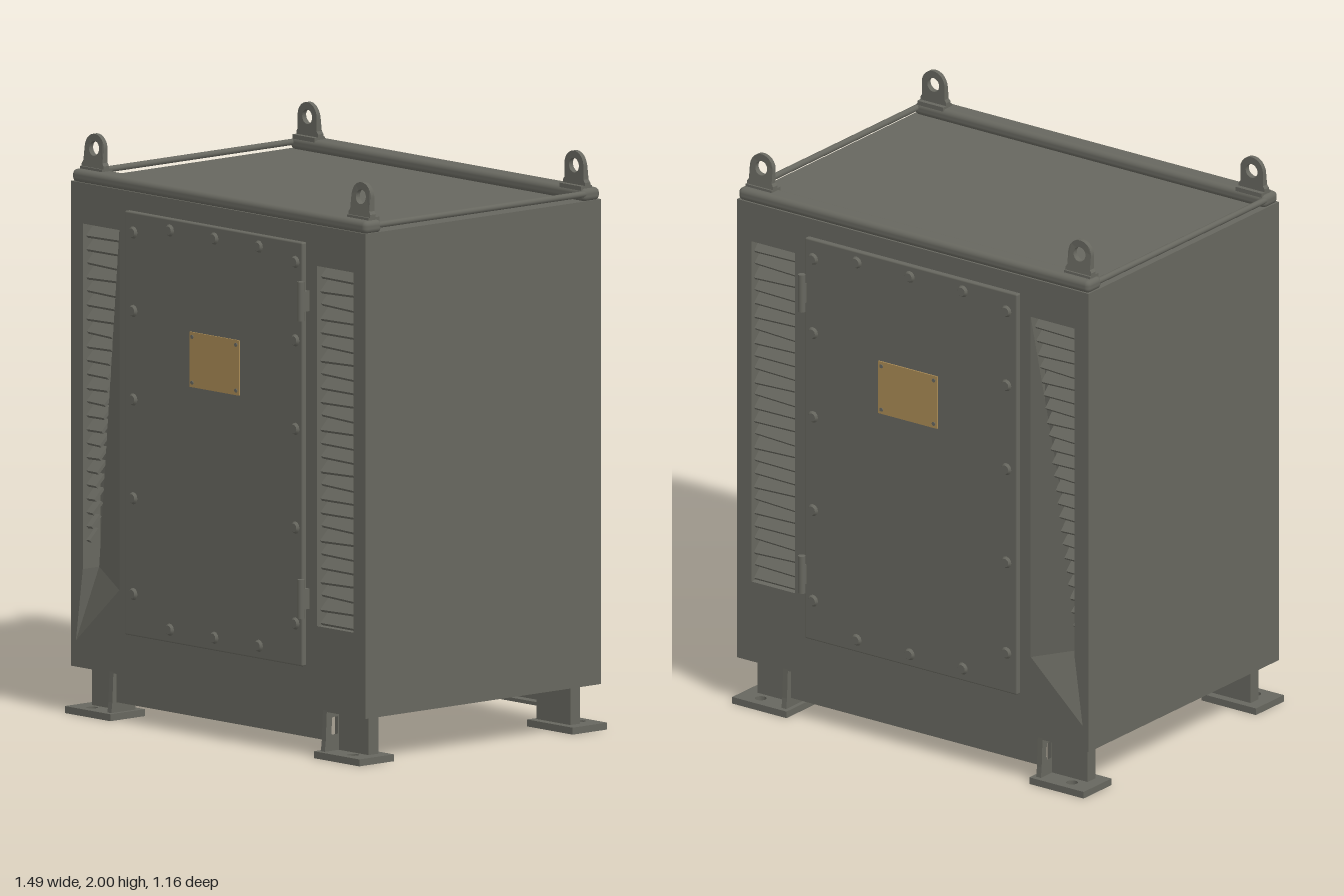
import * as THREE from 'three';
import { RoundedBoxGeometry } from 'three/addons/geometries/RoundedBoxGeometry.js';

const steel = new THREE.MeshStandardMaterial({ color: 0x67675f });
steel.name = 'grey steel';
const sheet = new THREE.MeshStandardMaterial({ color: 0x67675f, side: THREE.DoubleSide });
sheet.name = 'grey sheet';
const brass = new THREE.MeshStandardMaterial({ color: 0xaa8b55 });
brass.name = 'brass';

function add(parent, name, geometry, material = steel, x = 0, y = 0, z = 0) {
  const mesh = new THREE.Mesh(geometry, material);
  mesh.name = name;
  mesh.position.set(x, y, z);
  parent.add(mesh);
  return mesh;
}

// Box given by its low and high corners
function block(parent, name, [x0, x1], [y0, y1], [z0, z1], material = steel) {
  return add(parent, name, new THREE.BoxGeometry(x1 - x0, y1 - y0, z1 - z0), material,
    (x0 + x1) / 2, (y0 + y1) / 2, (z0 + z1) / 2);
}

const polygon = (pts, Type = THREE.Shape) => new Type(pts.map(p => new THREE.Vector2(...p)));
const extrude = (shape, depth) =>
  new THREE.ExtrudeGeometry(shape, { depth, bevelEnabled: false, curveSegments: 16 });

// Row of sloping slats from x0 to rightEnd(y); every slat is slightly askew
function louvres(parent, x0, y0, y1, rightEnd) {
  const step = 0.0477, count = Math.round((y1 - y0) / step);
  for (let i = 0; i < count; i++) {
    const y = y0 + (i + 0.5) * step, x1 = rightEnd(y);
    const slat = add(parent, 'louvre', new THREE.BoxGeometry(x1 - x0, 0.055, 0.012), steel, (x0 + x1) / 2, y, 0.5);
    slat.rotation.set(-0.8, 0, 0.04 * Math.sin(i * 2.4));
  }
}

// Creased sheet pushed in at its lower outer corner, with the ledge below it
function dentGeometry() {
  const top = [-0.5, 1.69, 0.54], hinge = [-0.5, 0.45, 0.54];
  const inner = [-0.685, 0.5, 0.465], tip = [-0.72, 0.25, 0.54];
  const g = new THREE.BufferGeometry();
  g.setAttribute('position', new THREE.Float32BufferAttribute(
    [...top, ...inner, ...hinge, ...inner, ...tip, ...hinge], 3));
  g.computeVertexNormals();
  return g;
}

// Eye plate that thickens towards its base
function lugGeometry() {
  const s = new THREE.Shape();
  s.moveTo(-0.055, 0);
  s.lineTo(0.055, 0);
  s.lineTo(0.055, 0.025);
  s.lineTo(0.048, 0.035);
  s.lineTo(0.048, 0.082);
  s.absarc(0, 0.082, 0.048, 0, Math.PI, false);
  s.lineTo(-0.048, 0.035);
  s.lineTo(-0.055, 0.025);
  s.closePath();
  s.holes.push(new THREE.Path().absarc(0, 0.08, 0.025, 0, Math.PI * 2, true));
  const g = extrude(s, 0.016);
  const p = g.attributes.position;
  for (let i = 0; i < p.count; i++) {
    if (p.getZ(i) > 0.01) p.setZ(i, 0.016 + 0.012 * Math.max(0, 1 - p.getY(i) / 0.1));
  }
  g.computeVertexNormals();
  return g;
}

// Everything on one long face, built for the front
function createFace() {
  const face = new THREE.Group();

  // Wall with the two vent openings
  const wall = polygon([[-0.745, 0.16], [0.745, 0.16], [0.745, 1.83], [-0.745, 1.83]]);
  wall.holes.push(
    polygon([[0.5, 0.45], [0.5, 1.69], [0.685, 1.69], [0.685, 0.45]], THREE.Path),
    polygon([[-0.685, 1.69], [-0.5, 1.69], [-0.5, 0.45], [-0.72, 0.25], [-0.685, 0.5]], THREE.Path));
  add(face, 'wall', extrude(wall, 0.08), steel, 0, 0, 0.46);
  louvres(face, 0.5, 0.45, 1.69, () => 0.685);
  louvres(face, -0.685, 0.59, 1.69, y => -0.685 + 0.185 * (y - 0.5) / 1.19);
  add(face, 'dentedPanel', dentGeometry(), sheet);

  // Door with bolts and hinges
  add(face, 'door', new RoundedBoxGeometry(0.9, 1.46, 0.03, 2, 0.006), steel, -0.005, 1.035, 0.543);
  const bolts = [];
  for (const y of [0.45, 0.78, 1.12, 1.425, 1.695]) bolts.push([-0.41, y], [0.41, y]);
  for (const x of [-0.225, 0, 0.225]) bolts.push([x, 0.35], [x, 1.725]);
  for (const [x, y] of bolts) {
    const bolt = add(face, 'bolt', new THREE.CylinderGeometry(0.015, 0.022, 0.01, 12), steel, x, y, 0.562);
    bolt.rotation.x = Math.PI / 2;
  }
  for (const y of [0.54, 1.565]) {
    add(face, 'hinge', new THREE.CylinderGeometry(0.013, 0.013, 0.135, 14), steel, 0.45, y, 0.568);
    block(face, 'hingeLeaf', [0.437, 0.463], [y - 0.035, y + 0.035], [0.535, 0.565]);
  }

  // Nameplate with corner rivets
  block(face, 'nameplate', [-0.12, 0.13], [1.2, 1.39], [0.557, 0.563], brass);
  for (const x of [-0.106, 0.116]) for (const y of [1.216, 1.374]) {
    const rivet = add(face, 'rivet', new THREE.CylinderGeometry(0.007, 0.007, 0.004, 8), steel, x, y, 0.564);
    rivet.rotation.x = Math.PI / 2;
  }

  // Top beam and lower channel
  add(face, 'topBeam', new RoundedBoxGeometry(1.49, 0.045, 0.08, 3, 0.018), steel, 0, 1.849, 0.5);
  block(face, 'baseChannelWeb', [-0.525, 0.525], [0.06, 0.165], [0.515, 0.53]);
  block(face, 'baseChannelFlange', [-0.525, 0.525], [0.06, 0.072], [0.48, 0.53]);

  for (const s of [-1, 1]) {
    // Lifting lug
    add(face, 'liftingLug', lugGeometry(), steel, s * 0.675, 1.865, 0.479);
    block(face, 'lugFoot', [s * 0.675 - 0.055, s * 0.675 + 0.055], [1.865, 1.88], [0.462, 0.512]);

    // Foot: bolted sole, upright and pierced gusset
    const foot = new THREE.Group();
    foot.name = 'foot';
    foot.position.x = s * 0.63;
    const sole = polygon([[-0.115, 0.41], [0.115, 0.41], [0.115, 0.568], [-0.115, 0.568]]);
    sole.holes.push(new THREE.Path().absarc(s * 0.03, 0.52, 0.02, 0, Math.PI * 2, true));
    const soleMesh = add(foot, 'sole', extrude(sole, 0.024), steel, 0, 0.024, 0);
    soleMesh.rotation.x = Math.PI / 2;
    const width = [-0.1, 0.07].map(v => v * s).sort((a, b) => a - b);
    block(foot, 'upright', width, [0.02, 0.165], [0.44, 0.485]);
    const gusset = polygon([[-0.475, 0.02], [-0.55, 0.02], [-0.545, 0.06], [-0.54, 0.165], [-0.475, 0.165]]);
    gusset.holes.push(polygon([[-0.49, 0.08], [-0.52, 0.08], [-0.515, 0.14], [-0.49, 0.14]], THREE.Path));
    const gussetMesh = add(foot, 'gusset', extrude(gusset, 0.02), steel, s * -0.09 - 0.01, 0, 0);
    gussetMesh.rotation.y = Math.PI / 2;
    face.add(foot);
  }
  return face;
}

// Mirrors a face through z
function mirrorZ(source) {
  const copy = source.clone(true);
  copy.scale.z = -1;
  return copy;
}

export function createModel() {
  const model = new THREE.Group();
  model.name = 'electricalCabinet';

  // Cabinet core between the two long faces
  block(model, 'cabinetBody', [-0.745, 0.745], [0.16, 1.83], [-0.46, 0.46]);

  // Slim rails along the top side edges
  for (const s of [-1, 1]) {
    const rail = add(model, 'sideRail', new THREE.CylinderGeometry(0.011, 0.011, 0.96, 12), steel, s * 0.734, 1.853, 0);
    rail.rotation.x = Math.PI / 2;
  }

  const front = createFace();
  front.name = 'frontFace';
  const back = mirrorZ(front);
  back.name = 'backFace';
  model.add(front, back);
  return model;
}
